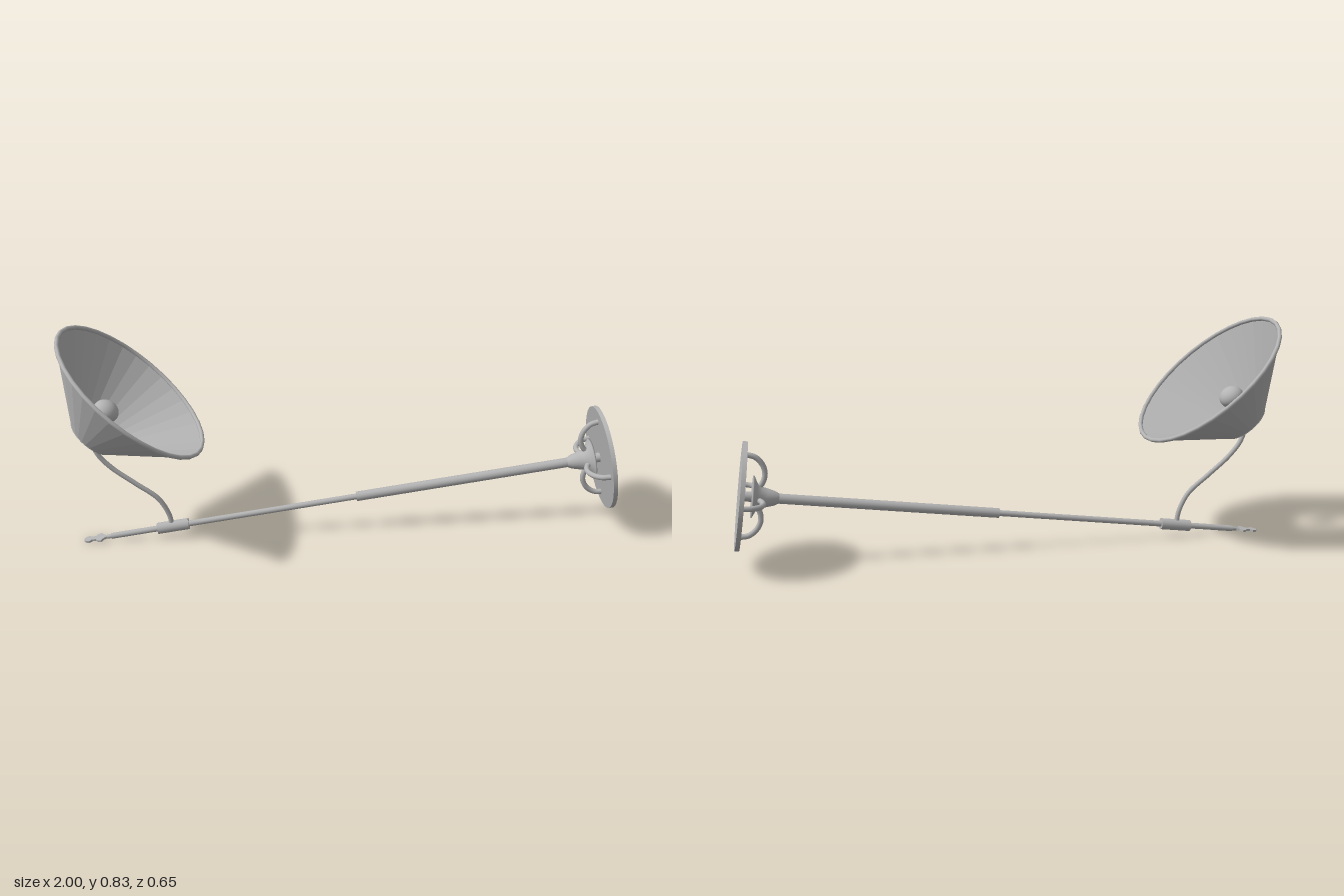
import * as THREE from 'three';

const metal = new THREE.MeshStandardMaterial({ color: 0xb4b4b4, side: THREE.DoubleSide });
metal.name = 'grey metal';

function add(parent, name, geometry, x = 0, y = 0, z = 0) {
  const mesh = new THREE.Mesh(geometry, metal);
  mesh.name = name;
  mesh.position.set(x, y, z);
  parent.add(mesh);
  return mesh;
}

// Cylinder running from height a to height b on the local y axis
function rod(parent, name, a, b, r0, r1 = r0, sides = 20) {
  return add(parent, name, new THREE.CylinderGeometry(r1, r0, b - a, sides), 0, (a + b) / 2, 0);
}

function tube(points, radius, segments = 32) {
  const curve = new THREE.CatmullRomCurve3(points.map(([x, y]) => new THREE.Vector3(x, y, 0)));
  return new THREE.TubeGeometry(curve, segments, radius, 10);
}

function lathe(points, sides) {
  return new THREE.LatheGeometry(points.map(([r, y]) => new THREE.Vector2(r, y)), sides);
}

function faceted(geometry) {
  const flat = geometry.toNonIndexed();
  flat.computeVertexNormals();
  return flat;
}

export function createModel() {
  const lamp = new THREE.Group();
  lamp.name = 'floorLamp';

  // Stand: built upright on its base, then laid down
  const stand = new THREE.Group();
  stand.name = 'stand';
  stand.position.set(0.974, 0.272, 0);
  stand.rotation.z = THREE.MathUtils.degToRad(97.7);
  lamp.add(stand);

  rod(stand, 'baseDisc', 0, 0.016, 0.194, 0.194, 40);
  rod(stand, 'baseStem', 0.016, 0.06, 0.018);
  add(stand, 'hub', lathe([[0, 0.045], [0.076, 0.045], [0.074, 0.05], [0.05, 0.062],
    [0.038, 0.08], [0.033, 0.1], [0.026, 0.125], [0.018, 0.14]], 28));

  // Four arched feet joining the hub to the disc
  for (let i = 0; i < 4; i++) {
    const foot = add(stand, 'archedFoot', tube([[0.025, 0.055], [0.05, 0.076], [0.085, 0.084],
      [0.12, 0.072], [0.145, 0.045], [0.152, 0.012]], 0.01));
    foot.rotation.y = i * Math.PI / 2;
  }

  rod(stand, 'lowerPole', 0.12, 0.942, 0.018);
  rod(stand, 'upperPole', 0.94, 1.87, 0.011);
  rod(stand, 'sleeve', 1.578, 1.695, 0.021);
  rod(stand, 'poleTip', 1.865, 1.905, 0.009, 0.005);

  // Flat, wavy-edged finial
  const half = [[0.005, 1.885], [0.012, 1.898], [0.026, 1.908], [0.022, 1.92], [0.011, 1.928],
    [0.01, 1.942], [0.018, 1.952], [0.014, 1.964], [0.004, 1.972]];
  const outline = [...half, ...half.slice().reverse().map(([x, y]) => [-x, y])];
  const finial = new THREE.ExtrudeGeometry(
    new THREE.Shape(outline.map(([x, y]) => new THREE.Vector2(x, y))),
    { depth: 0.008, bevelEnabled: false });
  finial.translate(0, 0, -0.004);
  add(stand, 'finial', finial).rotation.y = Math.PI / 2;

  // Curved arm from the sleeve to the bulb
  add(lamp, 'arm', tube([[-0.652, 0.055], [-0.66, 0.105], [-0.695, 0.175], [-0.775, 0.245],
    [-0.855, 0.315], [-0.9, 0.375], [-0.913, 0.44], [-0.882, 0.495]], 0.009, 48));

  // Shade, opening along its local y axis
  const shade = new THREE.Group();
  shade.name = 'shade';
  shade.position.set(-0.912, 0.445, 0);
  shade.rotation.z = THREE.MathUtils.degToRad(-41.9);
  lamp.add(shade);
  add(shade, 'shadeCone', faceted(lathe([[0.09, 0], [0.32, 0.232]], 32)));
  const ring = (name, radius, thickness, y) => {
    add(shade, name, new THREE.TorusGeometry(radius, thickness, 8, 32), 0, y, 0).rotation.x = Math.PI / 2;
  };
  ring('shadeRim', 0.318, 0.008, 0.232);
  ring('shadeCollar', 0.089, 0.003, 0.001);
  rod(shade, 'shadeStrut', -0.09, 0.09, 0.005).rotation.z = Math.PI / 2;

  // Socket and bulb
  const light = new THREE.Group();
  light.name = 'light';
  light.position.set(-0.853, 0.544, 0);
  light.rotation.z = -0.53;
  lamp.add(light);
  rod(light, 'socket', -0.062, -0.03, 0.021, 0.024);
  add(light, 'bulb', new THREE.SphereGeometry(0.046, 28, 20)).scale.y = 0.84;

  return lamp;
}
